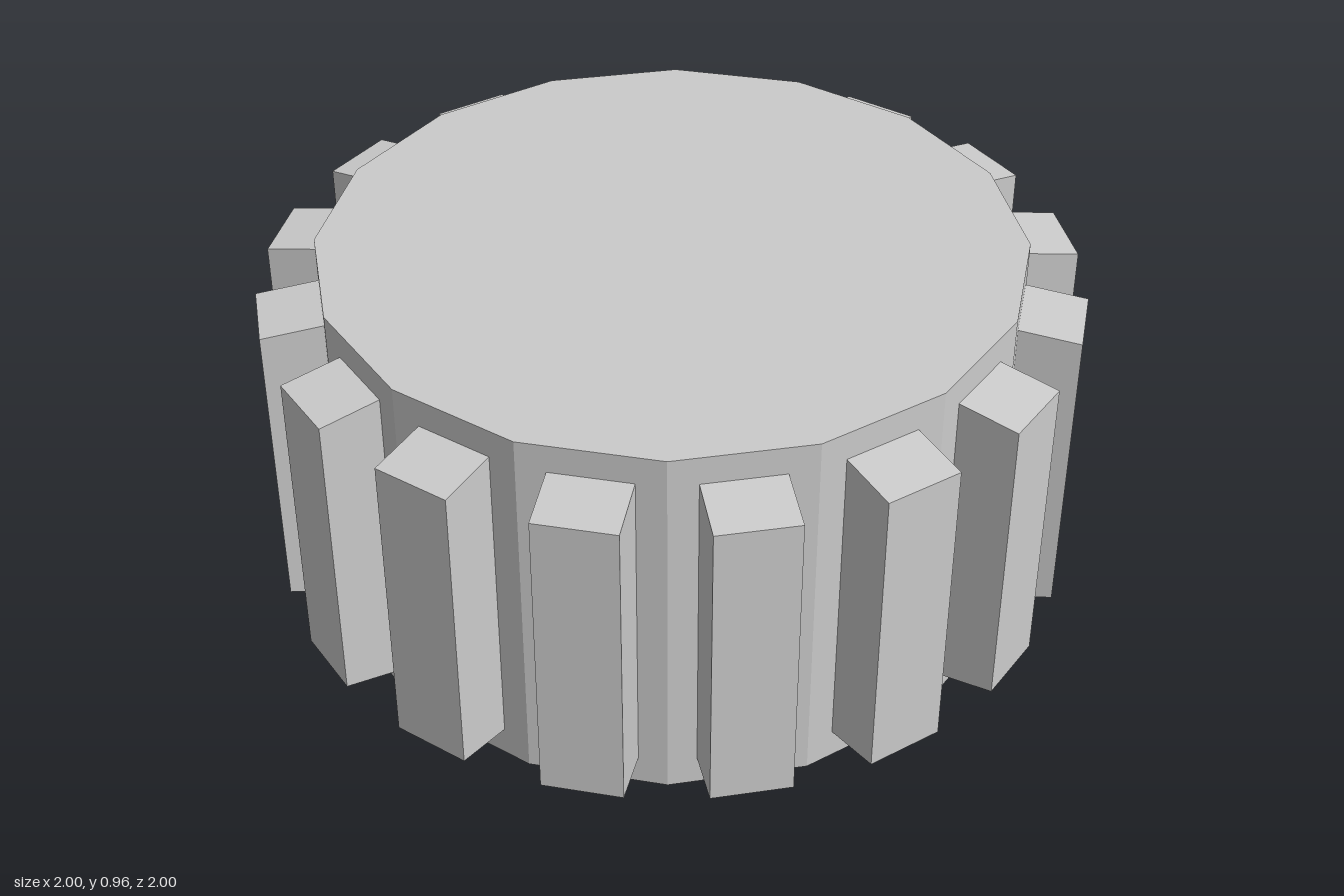
import * as THREE from 'three';

const SIDES = 16;
const HEIGHT = 0.965;
const RADIUS = 0.864;

export function createModel() {
  const model = new THREE.Group();
  model.name = 'cleatedWheel';
  const material = new THREE.MeshStandardMaterial({ color: 0xcccccc, flatShading: true });

  // Solid faceted drum, standing on its flat end
  const drum = new THREE.Mesh(new THREE.CylinderGeometry(RADIUS, RADIUS, HEIGHT, SIDES), material);
  drum.name = 'drum';
  drum.position.y = HEIGHT / 2;
  model.add(drum);

  // Cleat: block with its outer face slightly shorter than its root
  const width = 0.197, inner = 0.84, outer = 1.0;
  const cleatGeometry = new THREE.BoxGeometry(width, 1, outer - inner);
  const pos = cleatGeometry.attributes.position;
  for (let i = 0; i < pos.count; i++) {
    const halfHeight = pos.getZ(i) > 0 ? 0.389 : 0.41;
    pos.setY(i, Math.sign(pos.getY(i)) * halfHeight);
  }
  cleatGeometry.translate(0, HEIGHT / 2 + 0.002, (inner + outer) / 2);
  cleatGeometry.computeVertexNormals();

  // One cleat centred on each facet of the drum
  const cleats = new THREE.Group();
  cleats.name = 'cleats';
  for (let i = 0; i < SIDES; i++) {
    const cleat = new THREE.Mesh(cleatGeometry, material);
    cleat.name = 'cleat';
    cleat.rotation.y = ((i + 0.5) / SIDES) * Math.PI * 2;
    cleats.add(cleat);
  }
  model.add(cleats);
  return model;
}
